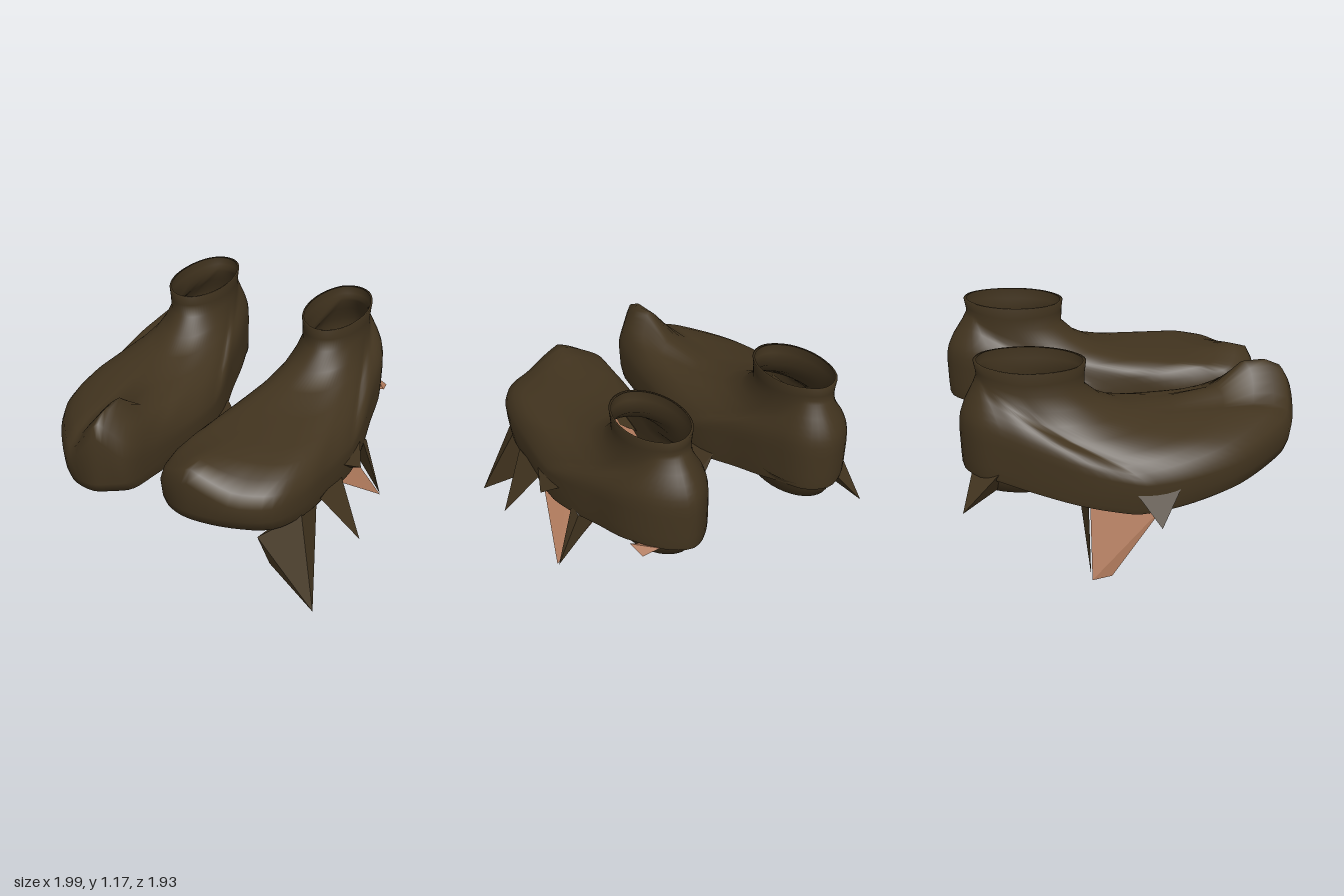
import * as THREE from 'three';
import { ConvexGeometry } from 'three/addons/geometries/ConvexGeometry.js';

const V = (p) => new THREE.Vector3(...p);
const clamp = THREE.MathUtils.clamp;
const material = (name, color) => new THREE.MeshStandardMaterial({ name, color, side: THREE.DoubleSide });

// Rows from hem to collar: share of the way to the ankle, height at toe, side, heel, ankle scale
const ROWS = [
  [0.07, 0.46, 0.40, 0.56, 1], [0.03, 0.47, 0.43, 0.58, 1], [0.01, 0.53, 0.51, 0.64, 1],
  [0, 0.62, 0.58, 0.78, 1], [0.03, 0.69, 0.61, 0.84, 1], [0.10, 0.74, 0.64, 0.88, 1],
  [0.20, 0.77, 0.68, 0.91, 1], [0.35, 0.78, 0.72, 0.95, 1], [0.6, 0.79, 0.785, 1.0, 1],
  [0.8, 0.83, 0.86, 1.04, 1], [0.92, 0.90, 0.94, 1.07, 1], [1, 0.99, 1.02, 1.09, 1],
  [1, 1.07, 1.08, 1.12, 1.01], [1, 1.13, 1.15, 1.17, 1.04], [1, 1.13, 1.15, 1.17, 0.98],
];
const SEGMENTS = 80;

// Plan outlines, x outward, starting at the toe and running round the outer side
const LEFT = [[0.28, 0.91], [0.5, 0.87], [0.7, 0.76], [0.78, 0.55], [0.8, 0.3], [0.81, 0.05],
  [0.79, -0.2], [0.74, -0.45], [0.69, -0.7], [0.58, -0.88], [0.42, -0.97], [0.28, -0.87],
  [0.2, -0.65], [0.16, -0.4], [0.14, -0.15], [0.1, 0.15], [0.06, 0.4], [0.05, 0.65],
  [0.06, 0.82], [0.16, 0.89]];
const RIGHT = [[0.31, 0.96], [0.47, 0.93], [0.62, 0.79], [0.8, 0.55], [0.88, 0.35], [0.92, 0.15],
  [0.92, -0.05], [0.89, -0.3], [0.8, -0.55], [0.73, -0.7], [0.64, -0.86], [0.48, -0.94],
  [0.34, -0.87], [0.25, -0.65], [0.19, -0.4], [0.12, -0.15], [0.09, 0.1], [0.1, 0.4],
  [0.11, 0.65], [0.14, 0.84], [0.22, 0.91]];

// Joins rings of equal length, stored one after another, into a smooth skin
function loft(pos, count, flip) {
  const index = [];
  for (let r = 1; r < pos.length / 3 / count; r++) {
    for (let i = 0; i < count; i++) {
      const j = (i + 1) % count, lo = (r - 1) * count, hi = r * count;
      const quad = [lo + i, lo + j, hi + j, lo + i, hi + j, hi + i];
      index.push(...(flip ? quad.reverse() : quad));
    }
  }
  const geo = new THREE.BufferGeometry();
  geo.setAttribute('position', new THREE.Float32BufferAttribute(pos, 3));
  geo.setIndex(index);
  geo.computeVertexNormals();
  return geo;
}

function add(group, name, geo, mat) {
  const mesh = new THREE.Mesh(geo, mat);
  mesh.name = name;
  group.add(mesh);
  return mesh;
}

function boot(name, outline, ankleX, sign, crest, mats) {
  const group = new THREE.Group();
  group.name = name;
  const curve = new THREE.CatmullRomCurve3(outline.map(([x, z]) => V([x, 0, z])), true);
  const pos = [];
  ROWS.forEach(([s, front, side, heel, grow], r) => {
    for (let i = 0; i < SEGMENTS; i++) {
      const u = i / SEGMENTS, a = u * Math.PI * 2;
      const p = curve.getPoint(u);
      const f = clamp(p.z / 0.9, 0, 1), h = clamp((-p.z - 0.02) / 0.75, 0, 1);
      const ax = ankleX + 0.175 * grow * Math.sin(a), az = -0.55 + 0.285 * grow * Math.cos(a);
      const x = p.x + (ax - p.x) * s, z = p.z + (az - p.z) * s;
      let y = front * f + heel * h + side * (1 - f - h);
      // peaked ridge raised on top of the toe
      if (r > 2) {
        y += crest.height * clamp(1 - Math.abs(x - crest.x) / crest.width, 0, 1)
          * clamp((z - crest.start) / 0.27, 0, 1);
      }
      pos.push(sign * x, y, z);
    }
  });
  add(group, 'upper', loft(pos, SEGMENTS, sign < 0), mats.leather);

  // Front sole, slightly hollowed toward its middle
  const rim = [];
  for (let i = 0; i < SEGMENTS; i++) {
    const [x, y, z] = pos.slice(i * 3, i * 3 + 3);
    if (z > -0.29) rim.push([x, y, z]);
  }
  const sole = [];
  for (const [t, rise] of [[0, 0], [0.25, 0.01], [0.6, 0.015], [1, 0.015]]) {
    for (const [x, y, z] of rim) {
      sole.push(x + (sign * 0.44 - x) * t, y + (0.455 - y) * t + rise, z + (0.25 - z) * t);
    }
  }
  add(group, 'frontSole', loft(sole, rim.length, sign > 0), mats.skin);

  // Heel cup tapering in under the hem, with a flat base
  const cup = [[0.88, 0.465], [1.06, 0.46], [1.2, 0.53], [1.32, 0.59]].map(([x, y]) => new THREE.Vector2(x, y));
  const heelCup = add(group, 'heelCup', new THREE.LatheGeometry(cup, 40), mats.leather);
  const heelBase = add(group, 'heelBase', new THREE.CircleGeometry(0.9, 40).rotateX(-Math.PI / 2), mats.grey);
  heelBase.position.y = 0.467;
  for (const part of [heelCup, heelBase]) {
    part.scale.set(0.18, 1, 0.275);
    part.position.x = sign * ankleX;
    part.position.z = -0.57;
  }
  return group;
}

// Jagged shard spanned by a few corner points
function shard(group, name, mat, ...points) {
  add(group, name, new ConvexGeometry(points.map(V)), mat);
}

export function createModel() {
  const mats = {
    leather: material('darkBrownLeather', 0x42341f),
    skin: material('tanSole', 0xb07a5c),
    grey: material('darkGreyHeel', 0x393939),
  };
  const { leather, skin } = mats;
  const model = new THREE.Group();
  model.name = 'pairOfBoots';
  const left = boot('leftBoot', LEFT, 0.435, 1, { x: 0.28, height: 0.1, width: 0.24, start: 0.6 }, mats);
  const right = boot('rightBoot', RIGHT, 0.48, -1, { x: 0.27, height: 0.22, width: 0.18, start: 0.45 }, mats);
  model.add(left, right);

  // Left boot shards
  shard(left, 'outerToeSpike', leather, [0.94, 0, 0.72], [0.69, 0.25, 0.75], [0.64, 0.44, 0.8],
    [0.77, 0.47, 0.55], [0.72, 0.4, 0.25]);
  shard(left, 'outerMiddleSpike', leather, [0.99, 0.18, 0.24], [0.79, 0.48, 0.1], [0.8, 0.48, 0.38], [0.72, 0.4, 0.25]);
  shard(left, 'outerSideSpike', leather, [0.86, 0.46, -0.03], [0.79, 0.56, -0.16], [0.8, 0.55, 0.12], [0.75, 0.44, 0]);
  shard(left, 'outerSoleSpike', skin, [0.9, 0.13, -0.28], [0.79, 0.4, 0.08], [0.56, 0.47, -0.31], [0.7, 0.44, -0.05]);
  shard(left, 'outerSpikeBacking', leather, [0.895, 0.13, -0.29], [0.77, 0.5, -0.25], [0.58, 0.5, -0.33], [0.77, 0.46, -0.32]);
  shard(left, 'innerSpike', leather, [-0.09, 0.24, 0.41], [0.1, 0.46, 0.2], [0.06, 0.47, 0.57], [0.16, 0.43, 0.4]);
  shard(left, 'innerHeelSpike', leather, [0.07, 0.38, -0.25], [0.17, 0.5, -0.42], [0.14, 0.52, -0.12], [0.2, 0.46, -0.25]);
  shard(left, 'heelFlap', skin, [0.67, 0.54, -0.86], [0.58, 0.57, -0.88], [0.69, 0.56, -0.76], [0.6, 0.54, -0.78]);

  // Right boot shards
  shard(right, 'outerSpike', leather, [-1, 0.36, 0.06], [-0.9, 0.56, -0.08], [-0.91, 0.55, 0.18], [-0.82, 0.42, 0.06]);
  shard(right, 'innerSpike', leather, [0.1, 0.15, -0.2], [0.05, 0.13, -0.3], [-0.12, 0.52, 0.04],
    [-0.16, 0.5, -0.27], [-0.18, 0.45, -0.1]);
  shard(right, 'outerSoleSpike', skin, [-0.97, 0.06, -0.31], [-0.95, 0.06, -0.2], [-0.88, 0.43, 0.1],
    [-0.86, 0.47, -0.3], [-0.66, 0.45, -0.2]);
  shard(right, 'outerSpikeBacking', leather, [-0.96, 0.09, -0.316], [-0.87, 0.5, -0.31], [-0.64, 0.5, -0.31],
    [-0.75, 0.35, -0.32], [-0.7, 0.5, -0.34]);
  shard(right, 'middleSoleSpike', skin, [-0.7, 0.21, -0.04], [-0.84, 0.43, 0.1], [-0.4, 0.45, -0.1], [-0.55, 0.45, 0.05]);
  shard(right, 'heelSpike', leather, [-0.71, 0.39, -0.96], [-0.7, 0.62, -0.74], [-0.55, 0.6, -0.88], [-0.62, 0.47, -0.76]);
  return model;
}
